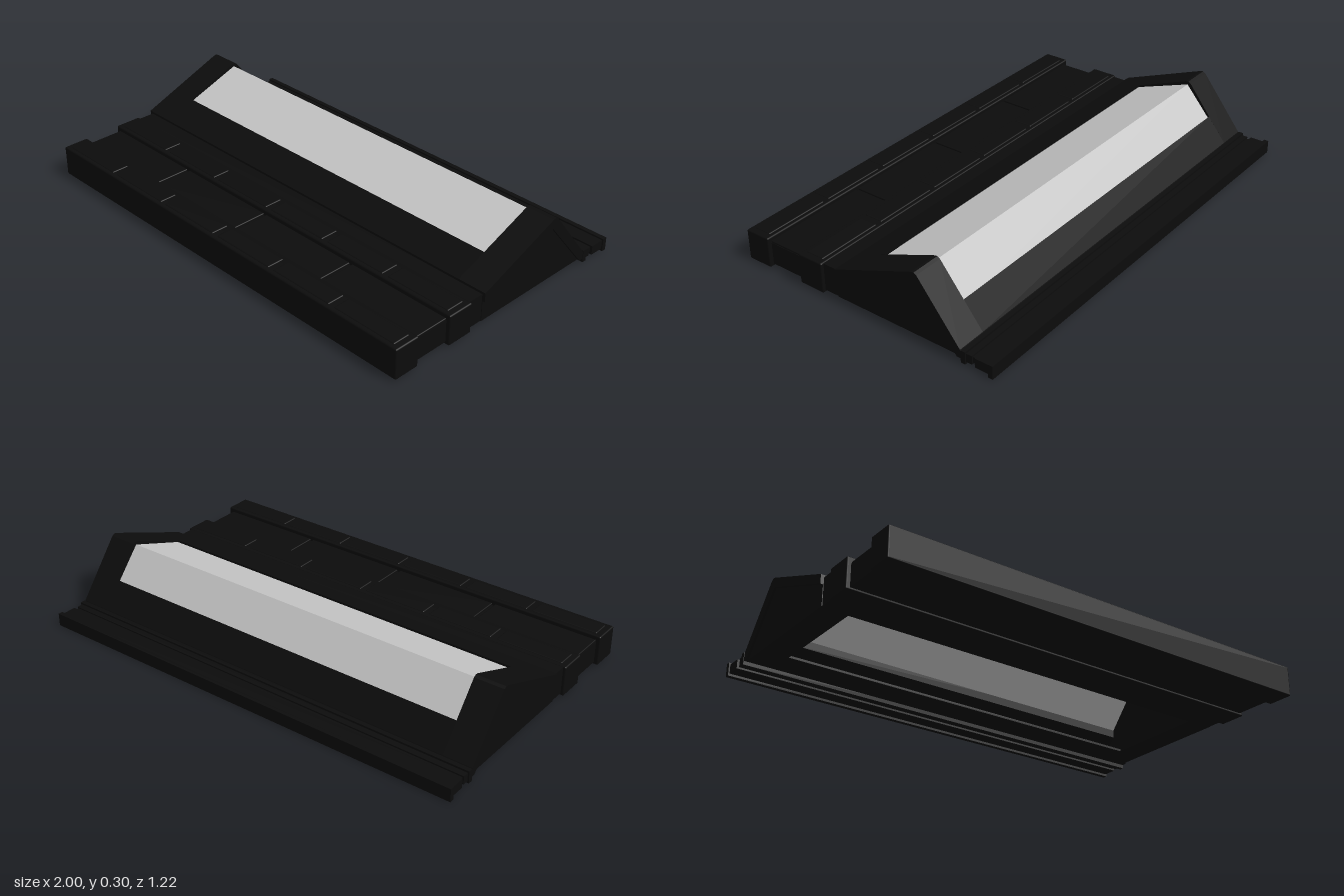
import * as THREE from 'three';
import { RoundedBoxGeometry } from 'three/addons/geometries/RoundedBoxGeometry.js';

export function createModel() {
  const model = new THREE.Group();
  const black = new THREE.MeshStandardMaterial({ color: 0x0c0c0c });
  black.name = 'black stone';
  const pale = new THREE.MeshStandardMaterial({ color: 0xc6c6c6 });
  pale.name = 'pale panel';

  const add = (name, geometry, material = black) => {
    const mesh = new THREE.Mesh(geometry, material);
    mesh.name = name;
    model.add(mesh);
    return mesh;
  };

  // box given by its limits
  const box = (name, x0, x1, y0, y1, z0, z1, radius = 0) => {
    const w = x1 - x0, h = y1 - y0, d = z1 - z0;
    const geometry = radius
      ? new RoundedBoxGeometry(w, h, d, 2, radius)
      : new THREE.BoxGeometry(w, h, d);
    return add(name, geometry.translate((x0 + x1) / 2, (y0 + y1) / 2, (z0 + z1) / 2));
  };

  // side profile of [z, y] points, extruded from x0 to x1
  const prism = (name, points, x0, x1, material) => {
    const shape = new THREE.Shape(points.map(([z, y]) => new THREE.Vector2(-z, y)));
    const geometry = new THREE.ExtrudeGeometry(shape, { depth: x1 - x0, bevelEnabled: false });
    return add(name, geometry.rotateY(Math.PI / 2).translate(x0, 0, 0), material);
  };

  // front base: solid core, step and two raised block rows
  box('baseCore', -0.975, 0.975, 0.02, 0.117, 0.14, 0.6);
  box('step', -0.98, 0.98, 0.02, 0.14, 0.13, 0.215);
  for (const [z0, z1] of [[0.21, 0.33], [0.495, 0.61]]) {
    box('blockRow', -0.993, 0.993, 0.01, 0.143, z0, z1, 0.006);
    for (let i = 0; i < 6; i++) {
      const x = (i - 2.5) * 0.326;
      box('blockFace', x - 0.15, x + 0.15, 0.13, 0.146, z0 + 0.018, z1 - 0.018, 0.005);
    }
  }

  // paving slabs between the rows
  for (let i = 0; i < 4; i++) {
    const x = (i - 1.5) * 0.49;
    box('pavingSlab', x - 0.238, x + 0.238, 0.021, 0.125, 0.32, 0.5, 0.004);
  }

  // sloped hood: end frames, with a front and a back strip between them
  const edge = 0.865;
  const frame = [
    [0.14, 0.15], [-0.245, 0.3], [-0.258, 0.302], [-0.27, 0.295],
    [-0.46, 0.057], [-0.475, 0.02], [-0.445, 0.02], [-0.245, 0.257], [0.14, 0.11],
  ];
  const wall = [[0.14, 0.11], [-0.245, 0.257], [-0.445, 0.02], [0.14, 0.02]];
  for (const s of [-1, 1]) {
    const span = (a, b) => (s > 0 ? [a, b] : [-b, -a]);
    prism('endFrame', frame, ...span(edge, 0.994));
    prism('gableWall', wall, ...span(edge, 0.983));
  }
  prism('frontStrip', [[0.14, 0.15], [0, 0.205], [0, 0.163], [0.14, 0.11]], -edge, edge);
  prism('backStrip',
    [[-0.375, 0.163], [-0.46, 0.057], [-0.475, 0.02], [-0.445, 0.02], [-0.375, 0.103]], -edge, edge);
  box('rearFloor', -edge, edge, 0.02, 0.03, -0.46, -0.33);

  // pale panel folded over the ridge
  prism('ridgePanel', [
    [0.005, 0.194], [-0.255, 0.287], [-0.38, 0.143],
    [-0.38, 0.132], [-0.255, 0.276], [0.005, 0.183],
  ], -edge, edge, pale);

  // stepped rail along the rear
  const rail = [
    [-0.484, -0.464, 0.004, 0.057, 0.996],
    [-0.51, -0.482, 0.012, 0.049, 0.99],
    [-0.528, -0.508, 0.018, 0.043, 0.984],
    [-0.592, -0.526, 0.01, 0.05, 0.994],
    [-0.61, -0.59, 0, 0.057, 1],
  ];
  for (const [z0, z1, y0, y1, x] of rail) box('rearRail', -x, x, y0, y1, z0, z1);

  return model;
}
